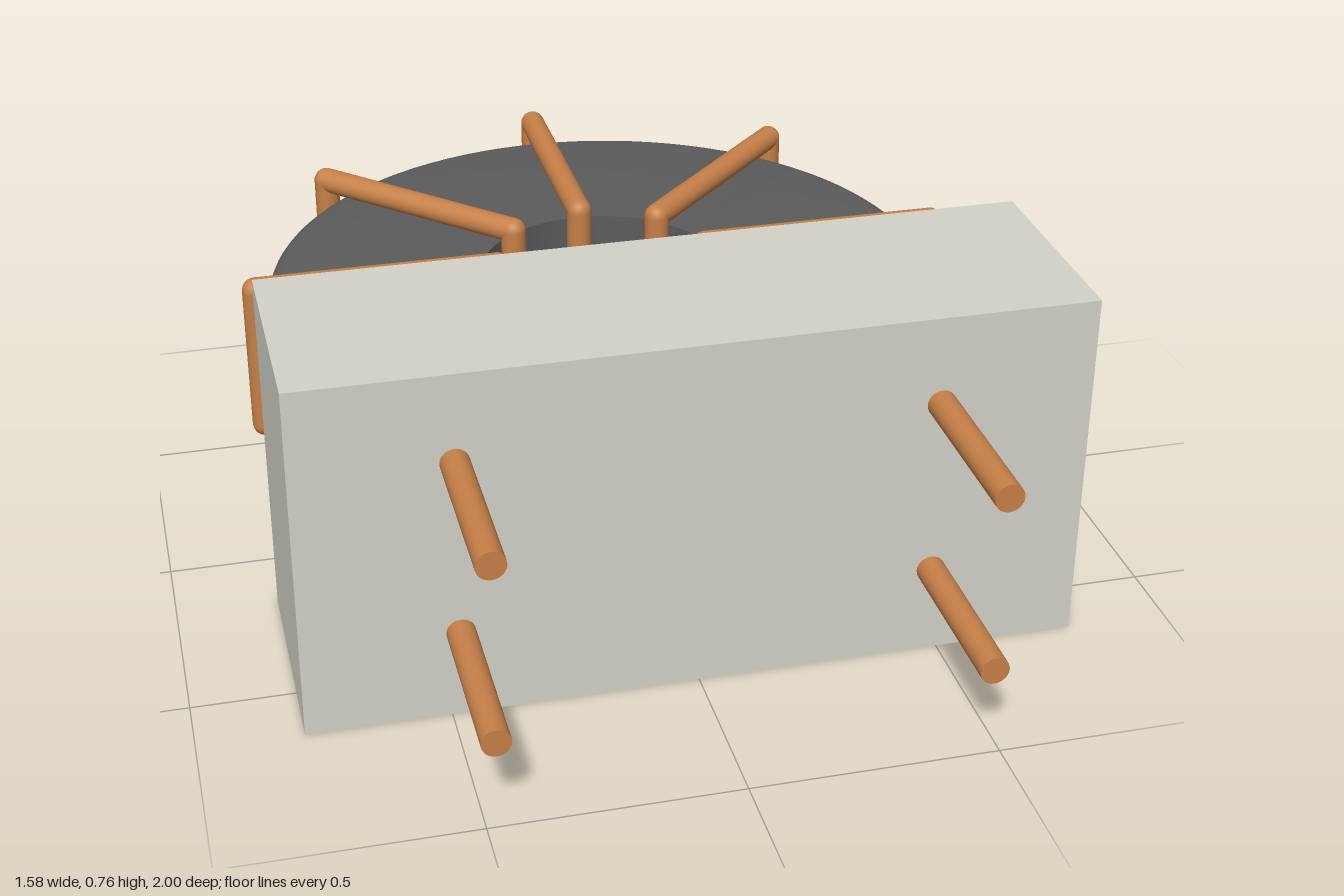
import * as THREE from 'three';
import { toCreasedNormals } from 'three/addons/utils/BufferGeometryUtils.js';

const CY = 0.38, CZ = -0.213; // centre of the ring core
const WIRE = 0.028;

const caseMat = new THREE.MeshStandardMaterial({ color: 0xd2d2c8 });
const coreMat = new THREE.MeshStandardMaterial({ color: 0x5c5c5c });
const copperMat = new THREE.MeshStandardMaterial({ color: 0xc68048 });

function addMesh(parent, name, geometry, material, x = 0, y = 0, z = 0) {
  const mesh = new THREE.Mesh(geometry, material);
  mesh.name = name;
  mesh.position.set(x, y, z);
  parent.add(mesh);
  return mesh;
}

function rectPoints(w, h) {
  return [[-w, -h], [w, -h], [w, h], [-w, h]].map(([x, y]) => new THREE.Vector2(x, y));
}

// Hollow housing, open at the back
function createHousing() {
  const housing = new THREE.Group();
  housing.name = 'housing';
  const hw = 0.79, hh = 0.378, wall = 0.03, back = 0.17, front = 0.64;
  const frame = new THREE.Shape(rectPoints(hw, hh));
  frame.holes.push(new THREE.Path(rectPoints(hw - wall, hh - wall).reverse()));
  const walls = new THREE.ExtrudeGeometry(frame, { depth: front - wall - back, bevelEnabled: false });
  addMesh(housing, 'housingWalls', walls, caseMat, 0, hh, back);
  addMesh(housing, 'housingFront', new THREE.BoxGeometry(hw * 2, hh * 2, wall), caseMat, 0, hh, front - wall / 2);
  return housing;
}

// Ring core with rounded outer edges
function createCoreGeometry() {
  const inner = 0.265, outer = 0.73, half = 0.13, r = 0.035;
  const profile = [new THREE.Vector2(inner, -half)];
  for (const side of [-1, 1]) {
    for (let i = 0; i <= 6; i++) {
      const a = (side < 0 ? -Math.PI / 2 : 0) + (i / 6) * Math.PI / 2;
      profile.push(new THREE.Vector2(outer - r + r * Math.cos(a), side * (half - r) + r * Math.sin(a)));
    }
  }
  profile.push(new THREE.Vector2(inner, half), new THREE.Vector2(inner, -half));
  return toCreasedNormals(new THREE.LatheGeometry(profile, 96), 0.6);
}

// One rectangular turn of wire around the ring section, lying in the XY plane
function createTurn() {
  const turn = new THREE.Group();
  turn.name = 'wireTurn';
  const r0 = 0.234, r1 = 0.759, h = 0.162;
  for (const x of [r0, r1]) {
    addMesh(turn, 'uprightWire', new THREE.CylinderGeometry(WIRE, WIRE, h * 2, 20), copperMat, x);
    for (const y of [-h, h]) addMesh(turn, 'wireCorner', new THREE.SphereGeometry(WIRE, 20, 14), copperMat, x, y);
  }
  for (const y of [-h, h]) {
    const bar = new THREE.CylinderGeometry(WIRE, WIRE, r1 - r0, 20).rotateZ(Math.PI / 2);
    addMesh(turn, 'radialWire', bar, copperMat, (r0 + r1) / 2, y);
  }
  return turn;
}

export function createModel() {
  const model = new THREE.Group();
  model.name = 'ringInductor';
  model.add(createHousing());
  addMesh(model, 'ringCore', createCoreGeometry(), coreMat, 0, CY, CZ);

  // Eight evenly spaced turns
  const winding = new THREE.Group();
  winding.name = 'winding';
  winding.position.set(0, CY, CZ);
  for (let i = 0; i < 8; i++) {
    const turn = createTurn();
    turn.rotation.y = (i * Math.PI) / 4;
    winding.add(turn);
  }
  model.add(winding);

  // Four terminal pins through the front wall
  for (const x of [-0.477, 0.477]) {
    for (const y of [0.19, 0.57]) {
      const pin = new THREE.CylinderGeometry(0.029, 0.029, 0.38, 24).rotateX(Math.PI / 2);
      addMesh(model, 'terminalPin', pin, copperMat, x, y, 0.81);
    }
  }
  return model;
}
